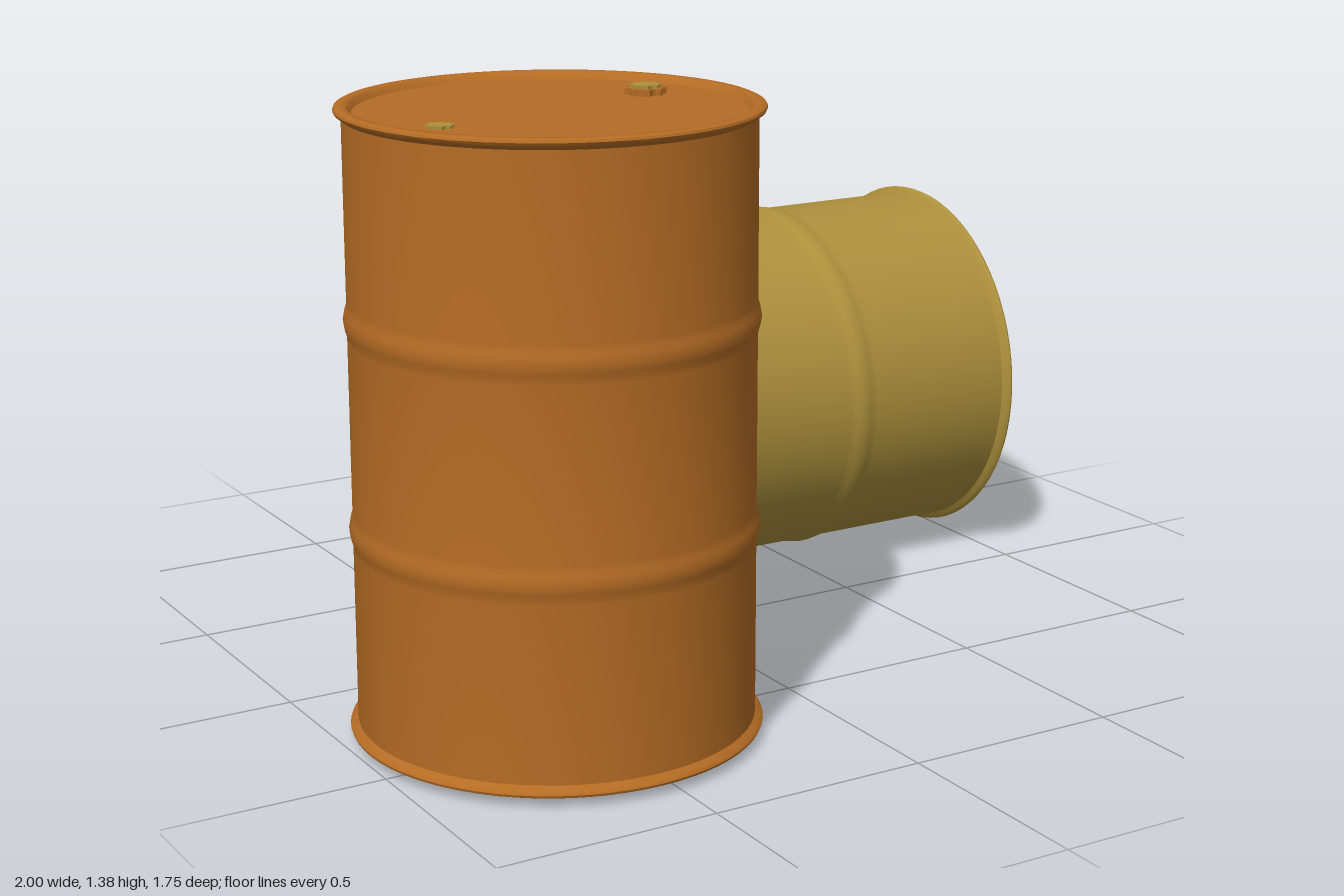
import * as THREE from 'three';
import { toCreasedNormals } from 'three/addons/utils/BufferGeometryUtils.js';

const LENGTH = 1.355, RIM = 0.448, BODY = 0.431, RECESS = 0.016;

const mat = (name, color) => {
  const m = new THREE.MeshStandardMaterial({ color });
  m.name = name;
  return m;
};

function add(parent, name, geometry, material, x = 0, y = 0, z = 0) {
  const mesh = new THREE.Mesh(geometry, material);
  mesh.name = name;
  mesh.position.set(x, y, z);
  parent.add(mesh);
  return mesh;
}

// Closed shell: recessed ends, rolled rims and two rolling hoops
function shellGeometry() {
  const bottom = [
    [0, RECESS], [0.41, RECESS], [0.418, 0.004], [0.424, 0], [0.44, 0],
    [0.446, 0.003], [RIM, 0.008], [0.446, 0.013], [0.44, 0.017], [BODY, 0.024],
  ];
  const hoop = y => [
    [BODY, y - 0.04], [BODY + 0.001, y - 0.03], [BODY + 0.005, y - 0.017], [BODY + 0.008, y],
    [BODY + 0.005, y + 0.017], [BODY + 0.001, y + 0.03], [BODY, y + 0.04],
  ];
  const top = bottom.map(([r, y]) => [r, LENGTH - y]).reverse();
  const points = [...bottom, ...hoop(0.45), ...hoop(0.905), ...top]
    .map(([r, y]) => new THREE.Vector2(r, y));
  return toCreasedNormals(new THREE.LatheGeometry(points, 72), 0.7);
}

// Scalloped disc standing on y = 0
function scallopedDisc(radius, height, teeth) {
  const shape = new THREE.Shape();
  for (let i = 0; i < teeth * 4; i++) {
    const a = (i / (teeth * 4)) * Math.PI * 2;
    const r = radius * (i % 4 < 2 ? 1 : 0.84);
    shape[i ? 'lineTo' : 'moveTo'](Math.cos(a) * r, Math.sin(a) * r);
  }
  shape.closePath();
  return new THREE.ExtrudeGeometry(shape, { depth: height, bevelEnabled: false }).rotateX(-Math.PI / 2);
}

function createDrum(name, paint, plugPaint) {
  const drum = new THREE.Group();
  drum.name = name;
  add(drum, 'shell', shellGeometry(), paint);

  // Two filler bungs on the lid
  const lid = LENGTH - RECESS;
  add(drum, 'largeBungFlange', scallopedDisc(0.045, 0.014, 8), paint, 0.28, lid, 0);
  add(drum, 'largeBungPlug', scallopedDisc(0.034, 0.021, 8), plugPaint, 0.28, lid, 0);
  add(drum, 'smallBungPlug', scallopedDisc(0.03, 0.006, 8), plugPaint, -0.305, lid, 0);
  return drum;
}

export function createModel() {
  const orange = mat('orange paint', 0xb56c24);
  const ochre = mat('ochre paint', 0xad903c);
  const model = new THREE.Group();
  model.name = 'drums';

  // Upright drum
  const upright = createDrum('uprightDrum', orange, ochre);
  upright.position.set(-0.552, 0.02, 0.424);
  upright.rotation.y = 0.27;
  model.add(upright);

  // Drum lying on its side, lid towards +x
  const spun = createDrum('drumBody', ochre, ochre);
  spun.rotation.y = -0.35;
  const lying = new THREE.Group();
  lying.name = 'lyingDrum';
  lying.add(spun);
  lying.rotation.z = -Math.PI / 2;
  lying.position.set(-0.361, RIM, -0.428);
  model.add(lying);

  return model;
}
